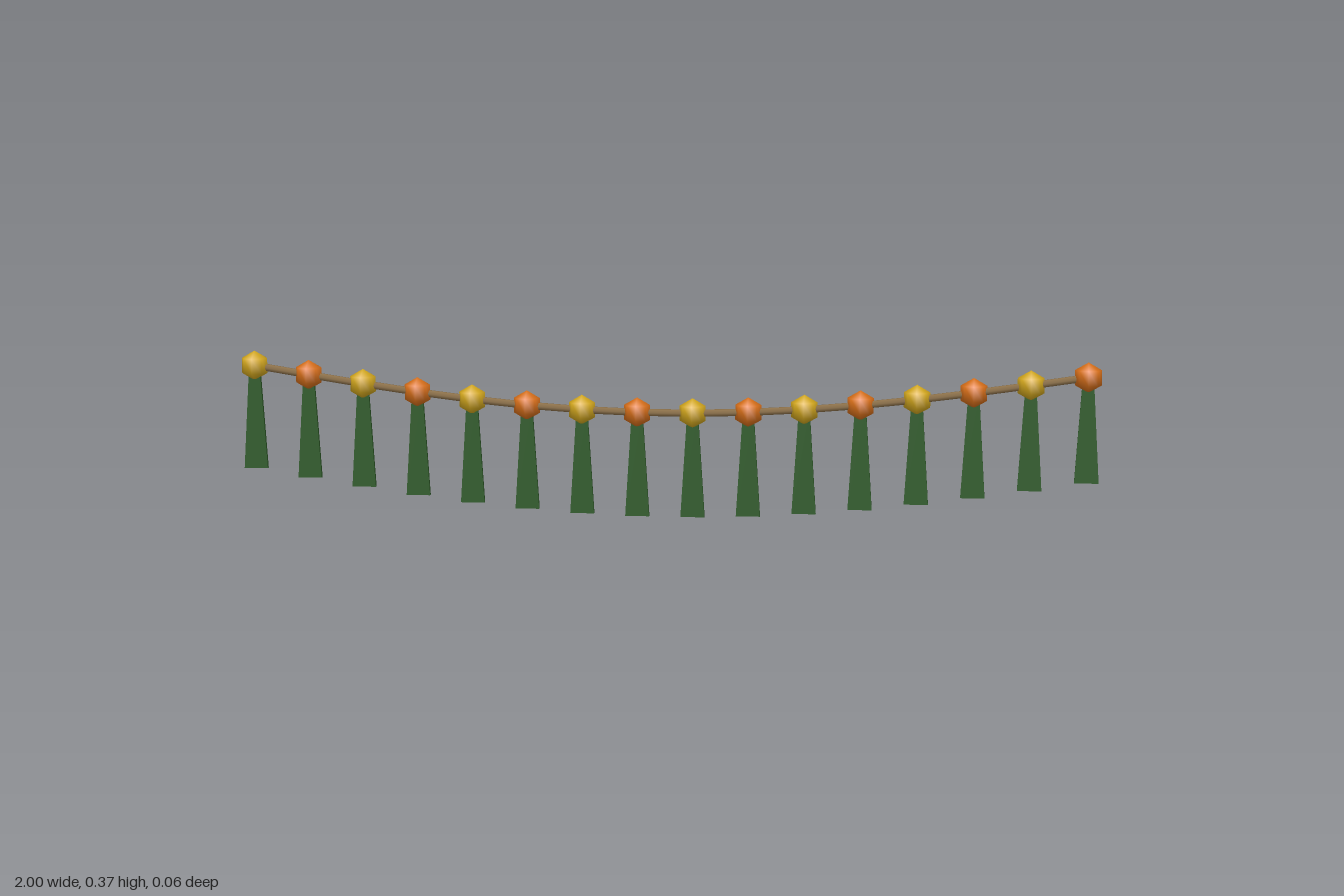
import * as THREE from 'three';

const COUNT = 16, HALF_SPAN = 0.97;
const mat = (color) => new THREE.MeshStandardMaterial({ color });

// Point on the sagging line, u from 0 to 1
const hang = (u) => new THREE.Vector3(
  (2 * u - 1) * HALF_SPAN, 0.34 - 0.097 * Math.sin(Math.PI * u), 0);

// Flat tassel, narrow at the top and wide at the bottom, origin at the bead centre
function tasselGeometry() {
  const top = 0.0125, bottom = 0.028, drop = 0.2435, depth = 0.009;
  const shape = new THREE.Shape([
    new THREE.Vector2(-bottom, -drop), new THREE.Vector2(bottom, -drop),
    new THREE.Vector2(top, 0), new THREE.Vector2(-top, 0),
  ]);
  return new THREE.ExtrudeGeometry(shape, { depth, bevelEnabled: false })
    .translate(0, 0, -depth / 2);
}

export function createModel() {
  const garland = new THREE.Group();
  garland.name = 'garland';
  const yellow = mat(0xd4a81e), orange = mat(0xd9701a);
  const green = mat(0x2d5a27), brown = mat(0x8b6f47);
  const beadGeo = new THREE.SphereGeometry(0.035, 8, 3);
  const tasselGeo = tasselGeometry();
  const points = Array.from({ length: COUNT }, (_, i) => hang(i / (COUNT - 1)));

  // Rope: straight stretches from bead to bead
  const rope = new THREE.Group();
  rope.name = 'rope';
  for (let i = 0; i < COUNT - 1; i++) {
    const line = new THREE.LineCurve3(points[i], points[i + 1]);
    const piece = new THREE.Mesh(new THREE.TubeGeometry(line, 1, 0.009, 6), brown);
    piece.name = 'ropePiece';
    rope.add(piece);
  }
  garland.add(rope);

  // Beads in alternating colours, each with a tassel below
  points.forEach((p, i) => {
    const bead = new THREE.Mesh(beadGeo, i % 2 ? orange : yellow);
    bead.name = 'bead';
    bead.position.copy(p);
    const tassel = new THREE.Mesh(tasselGeo, green);
    tassel.name = 'tassel';
    tassel.position.copy(p);
    garland.add(bead, tassel);
  });
  return garland;
}
